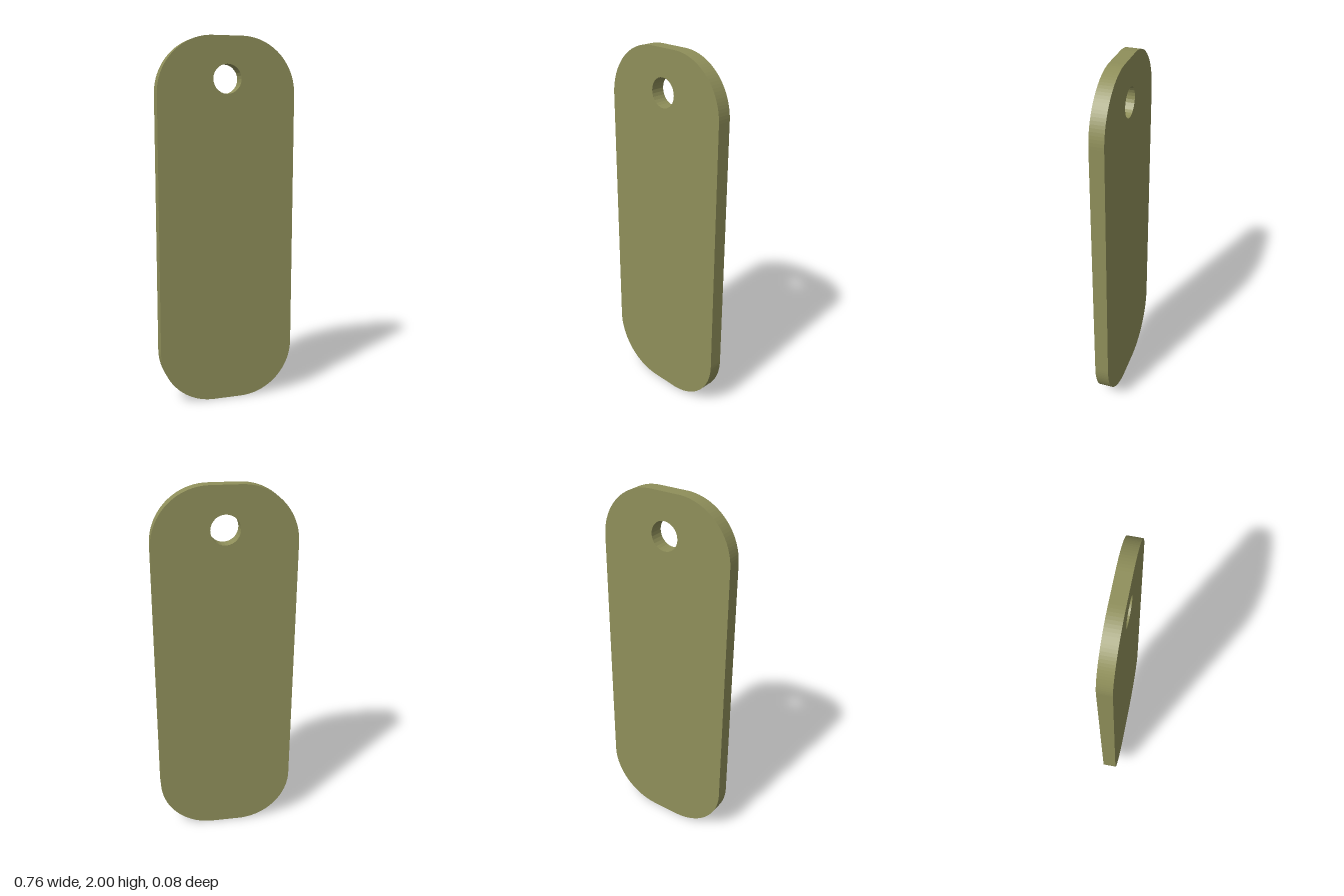
import * as THREE from 'three';

export function createModel() {
  const W = 0.38, H = 2, R = 0.3, T = 0.076; // half width, height, corner radius, thickness

  // Plate outline with rounded corners
  const outline = new THREE.Shape();
  outline.absarc(W - R, R, R, -Math.PI / 2, 0);
  outline.absarc(W - R, H - R, R, 0, Math.PI / 2);
  outline.absarc(R - W, H - R, R, Math.PI / 2, Math.PI);
  outline.absarc(R - W, R, R, Math.PI, Math.PI * 1.5);
  outline.closePath();

  // Hole for a cord or ring
  const hole = new THREE.Path();
  hole.absarc(0, 1.777, 0.078, 0, Math.PI * 2, true);
  outline.holes.push(hole);

  const geometry = new THREE.ExtrudeGeometry(outline, { depth: T, bevelEnabled: false, curveSegments: 14 });
  geometry.translate(0, 0, -T / 2);

  const plate = new THREE.Mesh(
    geometry,
    new THREE.MeshStandardMaterial({ color: 0x8f8f5a, flatShading: true })
  );
  plate.name = 'tagPlate';

  const group = new THREE.Group();
  group.name = 'tag';
  group.add(plate);
  return group;
}
